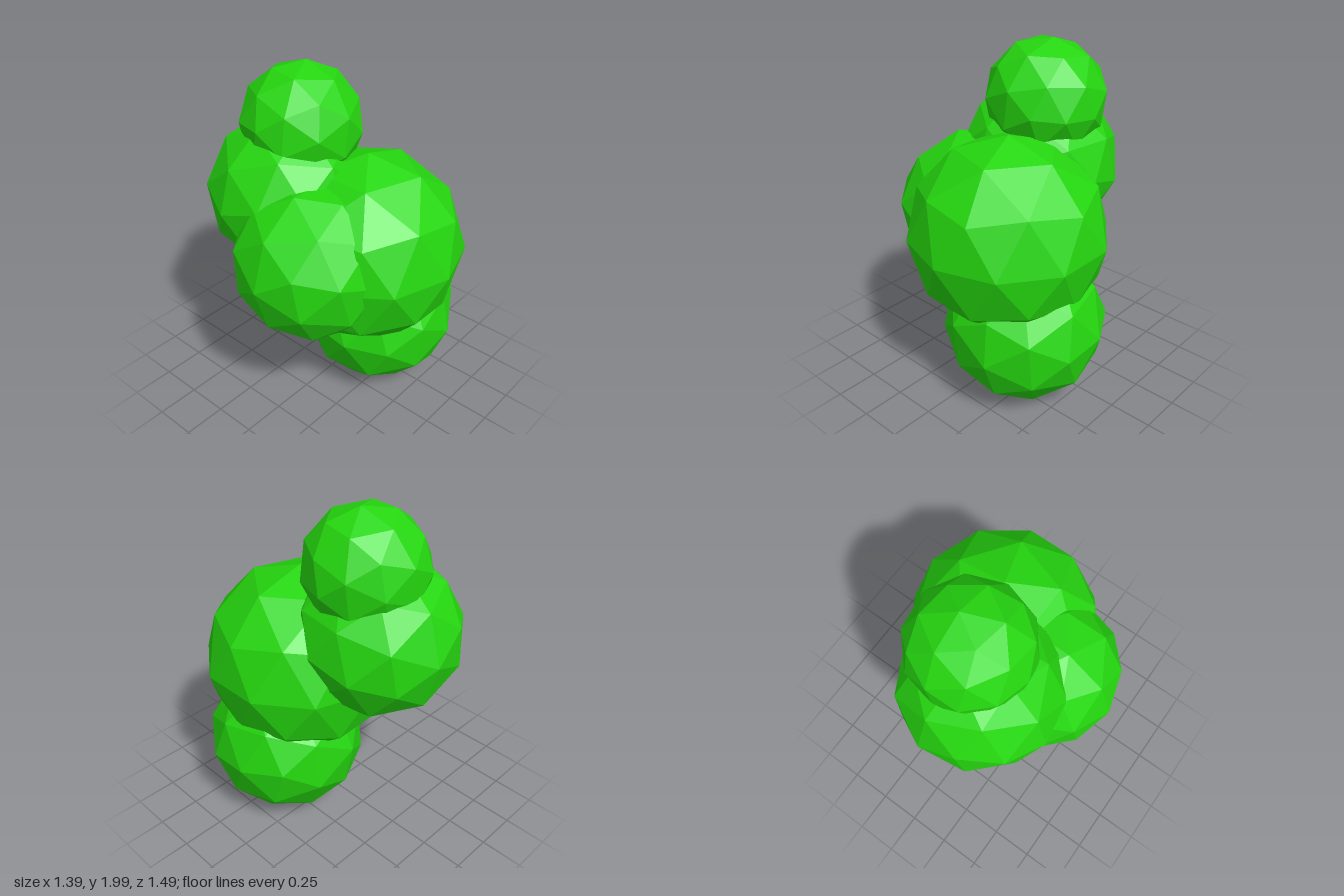
import * as THREE from 'three';

// Faceted ball with a five-sided corner on +y and the next one towards +x
function makeBall() {
  const ball = new THREE.IcosahedronGeometry(1, 1);
  ball.rotateZ(-Math.atan(1 / ((1 + Math.sqrt(5)) / 2)));
  ball.computeVertexNormals(); // not indexed, so the facets stay flat
  return ball;
}

// name, centre, radius, direction of the ball's pole, direction of its next corner
const CLUMPS = [
  ['lowerClump', [0.233, 0.475, 0.178], 0.467, [-0.512, 0.833, 0.208], [0.512, 0.859, -0.029]],
  ['mainClump', [0.10, 0.99, 0.17], 0.57, [0, 1, 0], [1, 0, 0]],
  ['sideClump', [-0.24, 1.01, 0.07], 0.46, [0, 0, 1], [-0.951, 0.309, 0]],
  ['backClump', [-0.065, 1.25, -0.275], 0.475, [-0.99, 0, -0.14], [0.13, 0.309, -0.94]],
  ['topClump', [0.01, 1.65, -0.24], 0.352, [0.99, -0.14, 0], [0.13, 0.94, 0.309]],
];

export function createModel() {
  const model = new THREE.Group();
  model.name = 'bush';
  const leafGreen = new THREE.MeshStandardMaterial({ color: 0x25d60f, flatShading: true });
  leafGreen.name = 'leafGreen';
  const ball = makeBall();

  for (const [name, centre, radius, pole, corner] of CLUMPS) {
    const y = new THREE.Vector3(...pole).normalize();
    const z = new THREE.Vector3(...corner).cross(y).normalize();
    const x = new THREE.Vector3().crossVectors(y, z);
    const clump = new THREE.Mesh(ball, leafGreen);
    clump.name = name;
    clump.position.set(...centre);
    clump.scale.setScalar(radius);
    clump.quaternion.setFromRotationMatrix(new THREE.Matrix4().makeBasis(x, y, z));
    model.add(clump);
  }
  return model;
}
